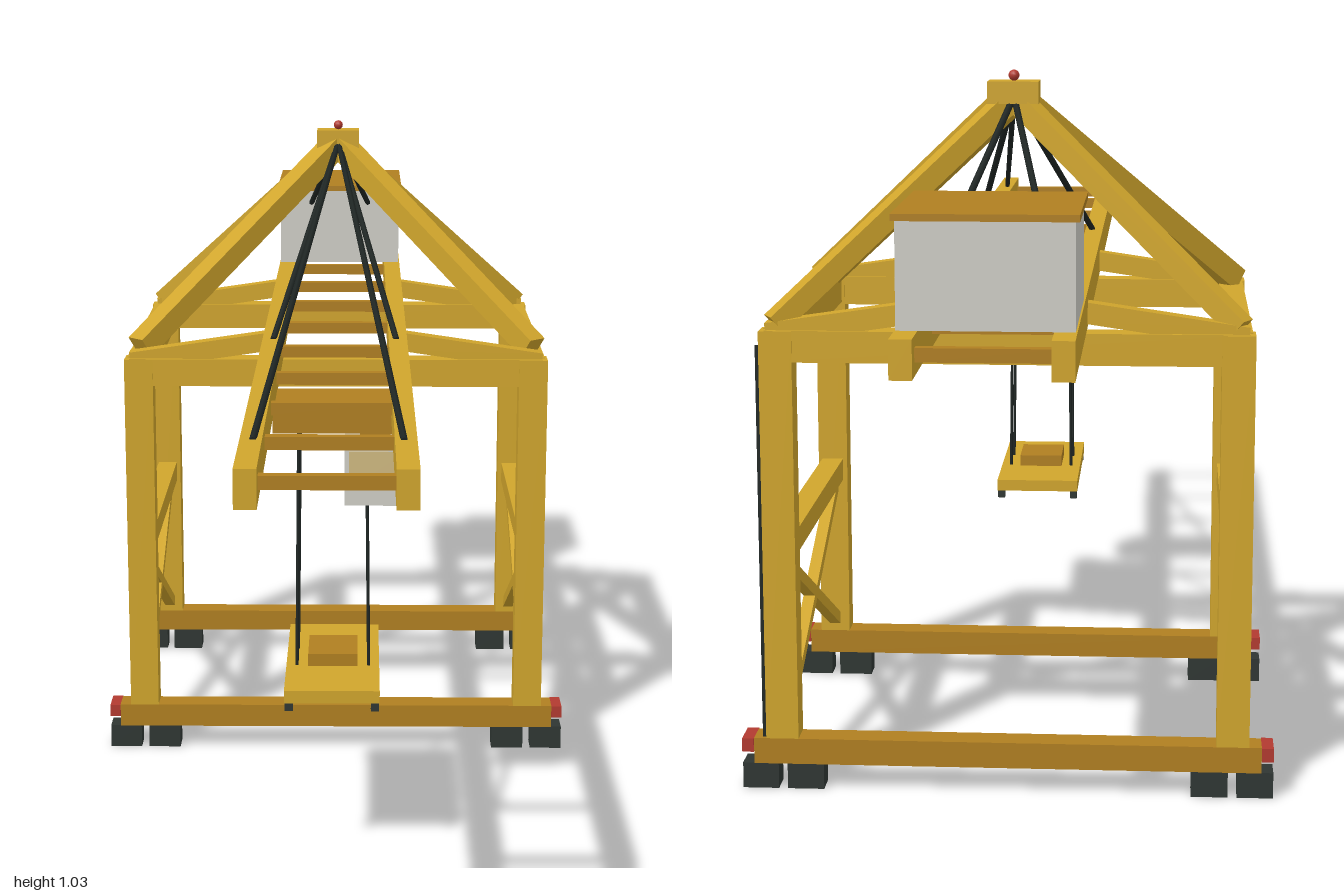
import * as THREE from 'three';

const paint = (name, color) => {
  const m = new THREE.MeshStandardMaterial({ color });
  m.name = name;
  return m;
};

export function createModel() {
  const crane = new THREE.Group();
  crane.name = 'containerCrane';

  const yellow = paint('yellow', 0xd0a52c);
  const ochre = paint('ochre', 0xb07f20);
  const dark = paint('darkGrey', 0x2f3633);
  const black = paint('cableBlack', 0x1f2624);
  const red = paint('red', 0xb23a30);
  const pale = paint('paleGrey', 0xcfcec6);
  const pane = paint('windowTint', 0xcfb980);

  const add = (name, geometry, material, parent = crane) => {
    const mesh = new THREE.Mesh(geometry, material);
    mesh.name = name;
    parent.add(mesh);
    return mesh;
  };
  // Box given by its limits on each axis
  const box = (name, mat, [x0, x1], [y0, y1], [z0, z1], parent) => {
    const mesh = add(name, new THREE.BoxGeometry(x1 - x0, y1 - y0, z1 - z0), mat, parent);
    mesh.position.set((x0 + x1) / 2, (y0 + y1) / 2, (z0 + z1) / 2);
    return mesh;
  };
  // Square beam or round cable between two points
  const span = (name, mat, a, b, geometryFor, parent) => {
    const p = new THREE.Vector3(...a), q = new THREE.Vector3(...b);
    const mesh = add(name, geometryFor(p.distanceTo(q)), mat, parent);
    mesh.position.copy(p).add(q).multiplyScalar(0.5);
    mesh.lookAt(q);
    return mesh;
  };
  const beam = (name, mat, a, b, w, h = w, parent) =>
    span(name, mat, a, b, (l) => new THREE.BoxGeometry(w, h, l), parent);
  const cable = (name, a, b, r, parent) =>
    span(name, black, a, b, (l) => new THREE.CylinderGeometry(r, r, l, 6).rotateX(Math.PI / 2), parent);
  const mirrored = (s, a, b) => (s > 0 ? [a, b] : [-b, -a]);

  const frontZ = -0.027, backZ = -0.567, apex = [0, 0.99, -0.405];

  // Portal frames, one at the front and one at the back
  for (const z of [frontZ, backZ]) {
    const frame = new THREE.Group();
    frame.name = z === frontZ ? 'frontPortal' : 'backPortal';
    crane.add(frame);
    const depth = [z - 0.021, z + 0.021];
    box('sillBeam', ochre, [-0.366, 0.366], [0.038, 0.076], depth, frame);
    box('crossBeam', yellow, [-0.34, 0.34], [0.628, 0.673], [z - 0.019, z + 0.019], frame);
    for (const s of [-1, 1]) {
      box('leg', yellow, mirrored(s, 0.301, 0.348), [0.076, 0.672], depth, frame);
      box('bogie', dark, mirrored(s, 0.265, 0.318), [0, 0.038], [z - 0.019, z + 0.019], frame);
      box('bogie', dark, mirrored(s, 0.331, 0.383), [0, 0.038], [z - 0.019, z + 0.019], frame);
      box('bumper', red, mirrored(s, 0.366, 0.383), [0.056, 0.076], [z - 0.024, z + 0.024], frame);
      beam('boomStrut', yellow, [s * 0.338, 0.668, z], [s * 0.1, 0.703, z], 0.028, 0.03, frame);
    }
  }

  // Side girders, cross bracing and the pyramid tower
  for (const s of [-1, 1]) {
    const x = s * 0.325;
    box('topSideGirder', yellow, mirrored(s, 0.306, 0.344), [0.632, 0.674], [backZ, frontZ]);
    box('middleSideGirder', yellow, mirrored(s, 0.308, 0.342), [0.335, 0.37], [backZ, frontZ]);
    beam('sideBrace', yellow, [x, 0.09, -0.03], [x, 0.335, -0.56], 0.018);
    beam('sideBrace', yellow, [x, 0.335, -0.03], [x, 0.09, -0.56], 0.018);
    beam('towerFrontLeg', yellow, [s * 0.328, 0.68, -0.082], apex, 0.036);
    beam('towerBackLeg', yellow, [s * 0.328, 0.68, -0.568], apex, 0.03);
  }
  box('towerCap', yellow, [-0.037, 0.037], [0.98, 1.012], [-0.432, -0.378]);
  add('beaconLight', new THREE.SphereGeometry(0.008, 12, 8), red).position.set(0, 1.02, -0.405);

  // Boom: twin girders joined by ties
  for (const s of [-1, 1]) {
    box('boomGirder', yellow, mirrored(s, 0.085, 0.114), [0.682, 0.733], [-1, 1]);
  }
  for (let i = 0; i < 10; i++) {
    const z = -0.965 + i * 0.2144;
    box('boomTie', ochre, [-0.09, 0.09], [0.7, 0.718], [z - 0.008, z + 0.008]);
  }

  // Stay cables from the tower to the boom
  for (const s of [-1, 1]) {
    for (const z of [0.84, 0.13, -0.9]) cable('stayCable', apex, [s * 0.097, 0.732, z], 0.0048);
  }

  // Machinery house on the rear of the boom
  const house = new THREE.Group();
  house.name = 'machineryHouse';
  crane.add(house);
  box('houseWalls', pale, [-0.112, 0.112], [0.734, 0.871], [-0.941, -0.676], house);
  box('houseRoof', ochre, [-0.117, 0.117], [0.871, 0.88], [-0.946, -0.671], house);
  for (const z of [-0.73, -0.805, -0.88]) {
    box('houseWindow', pane, [0.111, 0.115], [0.8, 0.832], [z - 0.021, z + 0.021], house);
  }

  // Trolley with the operator cab
  box('trolley', ochre, [-0.088, 0.088], [0.645, 0.686], [0.288, 0.417]);
  const cab = new THREE.Group();
  cab.name = 'operatorCab';
  crane.add(cab);
  box('cabBody', pale, [0.018, 0.112], [0.545, 0.638], [0.345, 0.451], cab);
  box('cabHanger', ochre, [0.04, 0.085], [0.636, 0.648], [0.36, 0.41], cab);
  box('cabFrontWindow', pane, [0.024, 0.106], [0.57, 0.626], [0.45, 0.454], cab);
  box('cabSideWindow', pane, [0.111, 0.115], [0.57, 0.626], [0.366, 0.44], cab);

  // Hoist ropes and container spreader
  const spreader = new THREE.Group();
  spreader.name = 'spreader';
  crane.add(spreader);
  for (const s of [-1, 1]) {
    for (const [top, low] of [[0.4, 0.395], [0.308, 0.315]]) {
      cable('hoistRope', [s * 0.05, 0.65, top], [s * 0.054, 0.28, low], 0.0025, spreader);
    }
    for (const z of [0.2, 0.506]) {
      box('twistLock', dark, mirrored(s, 0.057, 0.069), [0.25, 0.264], [z - 0.006, z + 0.006], spreader);
    }
  }
  box('headBlock', ochre, [-0.037, 0.037], [0.28, 0.301], [0.307, 0.401], spreader);
  box('spreaderFrame', yellow, [-0.07, 0.07], [0.263, 0.282], [0.191, 0.515], spreader);

  // Ladder on the outer face of one back leg
  const ladder = new THREE.Group();
  ladder.name = 'ladder';
  crane.add(ladder);
  for (const z of [-0.55, -0.584]) {
    box('ladderRail', black, [0.348, 0.353], [0.078, 0.652], [z - 0.0025, z + 0.0025], ladder);
  }
  for (let i = 0; i < 11; i++) {
    const y = 0.1 + i * 0.054;
    box('ladderRung', black, [0.348, 0.352], [y - 0.0025, y + 0.0025], [-0.584, -0.55], ladder);
  }

  return crane;
}
